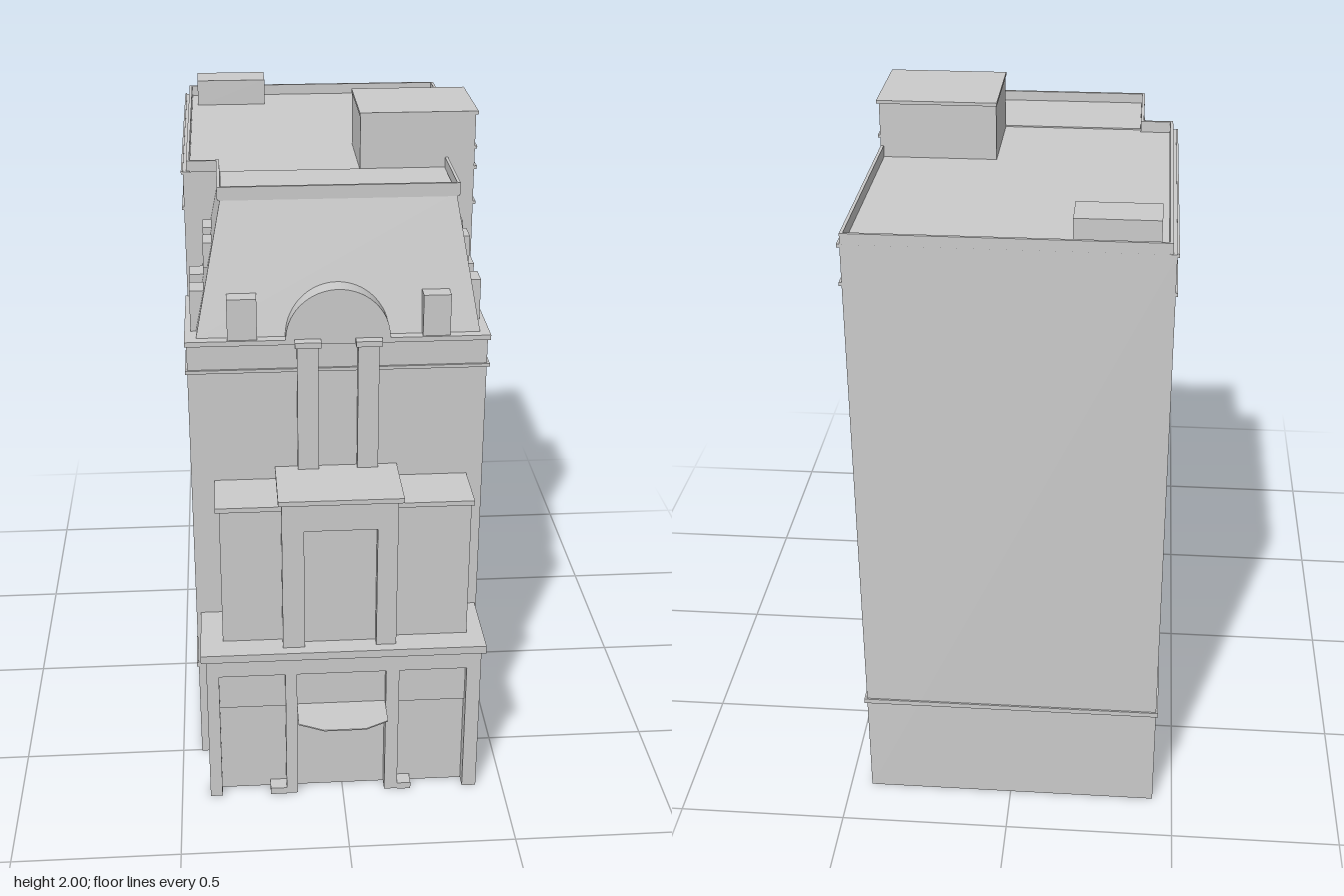
import * as THREE from 'three';

const grey = new THREE.MeshStandardMaterial({ color: 0xcccccc, flatShading: true, side: THREE.DoubleSide });

export function createModel() {
  const model = new THREE.Group();

  const add = (name, geo) => {
    const mesh = new THREE.Mesh(geo, grey);
    mesh.name = name;
    model.add(mesh);
    return mesh;
  };

  // Box given by its limits on each axis
  const boxGeo = (x0, x1, y0, y1, z0, z1) =>
    new THREE.BoxGeometry(x1 - x0, y1 - y0, z1 - z0).translate((x0 + x1) / 2, (y0 + y1) / 2, (z0 + z1) / 2);
  const box = (name, ...limits) => add(name, boxGeo(...limits));

  // Box without some faces (0 +x, 1 -x, 2 +y, 3 -y, 4 +z, 5 -z)
  const openBox = (name, drop, ...limits) => {
    const geo = boxGeo(...limits);
    geo.setIndex(Array.from(geo.index.array).filter((_, i) => !drop.includes(Math.floor(i / 6))));
    geo.clearGroups();
    return add(name, geo);
  };

  const shapeOf = (pts) => new THREE.Shape(pts.map(([x, y]) => new THREE.Vector2(x, y)));
  const rect = (x0, x1, y0, y1) => [[x0, y0], [x1, y0], [x1, y1], [x0, y1]];

  // Upright panel facing +z
  const frame = (name, pts, z0, depth) =>
    add(name, new THREE.ExtrudeGeometry(shapeOf(pts), { depth, bevelEnabled: false }).translate(0, 0, z0));

  // Level plate from an (x, z) outline, with an optional hole
  const plate = (name, pts, top, depth, hole) => {
    const shape = shapeOf(pts);
    if (hole) shape.holes.push(shapeOf(hole));
    const geo = new THREE.ExtrudeGeometry(shape, { depth, bevelEnabled: false });
    return add(name, geo.rotateX(Math.PI / 2).translate(0, top, 0));
  };

  // Side wall from a (z, y) outline; dir is the way it faces
  const sideWall = (name, pts, x, dir) => {
    const geo = new THREE.ShapeGeometry(shapeOf(pts.map(([z, y]) => [-dir * z, y])));
    add(name, geo.rotateY(dir * Math.PI / 2).translate(x, 0, 0));
  };

  const L = -0.44, R = 0.435, BACK = -0.845, FRONT = 0.505, STEP = 0.135;

  // Hollow main block, open at the bottom
  const upper = [[FRONT, 1.43], [STEP, 1.43], [STEP, 1.83], [BACK, 1.83]];
  sideWall('rightWall', [[BACK, 0], [FRONT, 0], ...upper], L, -1);
  sideWall('leftWall', [[BACK, 0], [0.2, 0], [0.2, 0.24], [0.455, 0.24], [0.455, 0], [FRONT, 0], ...upper], R, 1);
  openBox('sideDoorRecess', [0, 3], R - 0.03, R, 0, 0.24, 0.2, 0.455);
  add('backWall', new THREE.ShapeGeometry(shapeOf(rect(-R, -L, 0, 1.83))).rotateY(Math.PI).translate(0, 0, BACK));
  add('upperFrontWall', new THREE.ShapeGeometry(shapeOf(rect(L, R, 1.43, 1.83))).translate(0, 0, STEP));
  // Front wall, open behind the shopfront and bays
  add('frontWall', new THREE.ShapeGeometry(shapeOf([
    [L, 0], [-0.385, 0], [-0.385, 0.5], [-0.36, 0.5], [-0.36, 0.97], [0.38, 0.97], [0.38, 0.5],
    [0.395, 0.5], [0.395, 0], [R, 0], [R, 1.43], [L, 1.43],
  ])).translate(0, 0, FRONT));

  // Thin string courses along the sides and back
  const course = (name, y0, y1, zFront, zBack, back) => {
    box(name, L - 0.006, L, y0, y1, zBack, zFront);
    box(name, R, R + 0.008, y0, y1, zBack, zFront);
    if (back) box(name, L - 0.006, R + 0.008, y0, y1, BACK - 0.005, BACK);
  };
  course('lowerCourse', 0.325, 0.34, FRONT, BACK, true);
  course('upperCourse', 1.712, 1.722, STEP, BACK, false);
  course('roofCourse', 1.822, 1.832, STEP, BACK, false);
  course('frontCourse', 1.335, 1.345, 0.512, STEP, false);
  box('frontCourse', L, R, 1.335, 1.345, FRONT, 0.512);
  box('mainCornice', -0.446, 0.443, 1.42, 1.435, 0.13, 0.512);

  // Roof and parapet
  const roofLine = (d) => [
    [-0.43 + d, -0.842 + d], [0.435 - d, -0.842 + d], [0.435 - d, STEP - d], [0.355 - d, STEP - d],
    [0.355 - d, 0.4 - d], [-0.34 + d, 0.4 - d], [-0.34 + d, 0.125 - d], [-0.43 + d, 0.125 - d],
  ];
  plate('parapet', roofLine(0), 1.86, 0.035, roofLine(0.009));
  plate('roof', roofLine(0.002), 1.826, 0.006);
  box('roofEdge', L, -0.42, 1.82, 1.83, BACK, STEP);
  box('penthouse', 0.09, R, 1.82, 1.99, -0.165, STEP);
  box('penthouseCap', 0.088, 0.442, 1.99, 2, -0.17, 0.138);
  box('penthouseCourse', R, 0.442, 1.885, 1.893, -0.165, STEP);
  box('roofHatch', -0.4, -0.17, 1.82, 1.91, -0.815, -0.695);

  // Mansard: a box with its top drawn in
  const mansard = new THREE.BoxGeometry(1, 1, 1);
  const p = mansard.attributes.position;
  for (let i = 0; i < p.count; i++) {
    const top = p.getY(i) > 0;
    const x = p.getX(i) > 0 ? (top ? 0.345 : 0.415) : (top ? -0.33 : -0.412);
    const z = p.getZ(i) > 0 ? (top ? 0.395 : 0.482) : STEP;
    p.setXYZ(i, x, top ? 1.83 : 1.435, z);
  }
  mansard.computeVertexNormals();
  add('mansard', mansard);

  // Dormers
  box('frontDormer', -0.322, -0.236, 1.435, 1.56, 0.42, 0.505);
  box('frontDormer', 0.245, 0.325, 1.435, 1.56, 0.42, 0.505);
  for (const z of [0.17, 0.31]) {
    box('leftLowerDormer', 0.36, 0.428, 1.435, 1.56, z, z + 0.075);
    box('leftUpperDormer', 0.34, 0.39, 1.62, 1.695, z, z + 0.075);
    box('rightLowerDormer', -0.428, -0.36, 1.435, 1.56, z + 0.04, z + 0.115);
    box('rightUpperDormer', -0.385, -0.33, 1.62, 1.695, z + 0.01, z + 0.087);
  }
  const arch = new THREE.Shape();
  arch.absarc(0, 0, 0.152, 0, Math.PI);
  add('archedDormer', new THREE.ExtrudeGeometry(arch, { depth: 0.11, bevelEnabled: false, curveSegments: 24 })
    .translate(-0.002, 1.435, 0.403));

  // Tall piers on the front
  for (const x of [-0.122, 0.055]) {
    box('pier', x, x + 0.062, 1.02, 1.42, FRONT, 0.528);
    box('pierCap', x - 0.007, x + 0.07, 1.42, 1.437, FRONT, 0.543);
  }

  // Bays above the shopfront
  openBox('rightBay', [3, 5, 0], -0.36, -0.18, 0.5, 0.97, FRONT, 0.672);
  openBox('leftBay', [3, 5, 1], 0.16, 0.38, 0.5, 0.97, FRONT, 0.672);
  box('rightBayCap', -0.372, -0.18, 0.97, 0.985, FRONT, 0.685);
  box('leftBayCap', 0.16, 0.387, 0.97, 0.985, FRONT, 0.685);
  openBox('centreBay', [3, 5], -0.18, 0.16, 0.5, 1.01, FRONT, 0.69);
  frame('centreBayFrame', [
    [-0.18, 0.52], [-0.115, 0.52], [-0.115, 0.92], [0.1, 0.92], [0.1, 0.52], [0.16, 0.52], [0.16, 1.01], [-0.18, 1.01],
  ], 0.69, 0.03);
  box('centreBayCap', -0.19, 0.175, 1.01, 1.025, FRONT, 0.732);

  // Shopfront with three openings
  plate('shopCornice', rect(-0.427, 0.43, FRONT, 0.752), 0.525, 0.025, rect(-0.355, 0.375, 0.508, 0.66));
  openBox('shopCore', [2, 3, 5], -0.385, 0.395, 0, 0.5, FRONT, 0.695);
  const openings = [[-0.375, -0.175], [-0.14, 0.13], [0.17, 0.375]];
  const outline = [[-0.412, 0]];
  for (const [a, b] of openings) outline.push([a, 0], [a, 0.44], [b, 0.44], [b, 0]);
  outline.push([0.418, 0], [0.418, 0.5], [-0.412, 0.5]);
  frame('shopFrame', outline, 0.695, 0.042);
  for (const [a, b] of openings) box('transom', a, b, 0.31, 0.44, 0.695, 0.71);
  box('rightShopBeam', -0.412, -0.385, 0.445, 0.5, FRONT, 0.695);
  box('leftShopBeam', 0.395, 0.418, 0.445, 0.5, FRONT, 0.695);
  box('rightPlinth', -0.225, -0.175, 0, 0.022, 0.695, 0.74);
  box('leftPlinth', 0.17, 0.212, 0, 0.022, 0.695, 0.74);

  // Entrance canopy
  plate('canopy', [[-0.14, 0.7], [0.13, 0.7], [0.13, 0.813], [0.06, 0.849], [-0.065, 0.849], [-0.14, 0.813]], 0.314, 0.004);

  return model;
}
